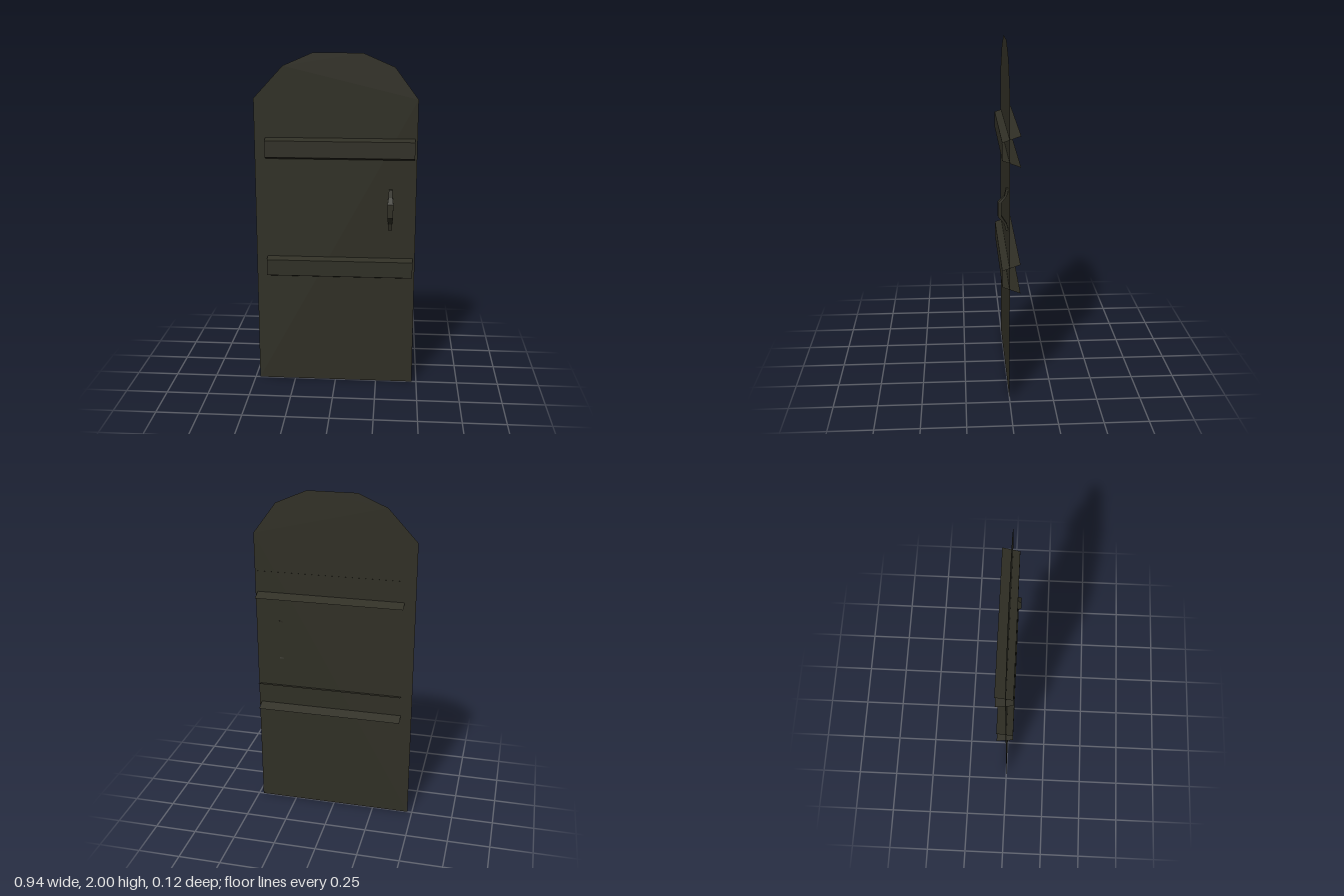
import * as THREE from 'three';

const ironwood = new THREE.MeshStandardMaterial({ color: 0x302f25, side: THREE.DoubleSide, flatShading: true });
ironwood.name = 'dark weathered brown';

// Lofts a list of equal-length point loops into a surface
function loft(rows, closed) {
  const n = rows[0].length;
  const index = [];
  for (let i = 0; i < rows.length - 1; i++) {
    for (let j = 0; j < (closed ? n : n - 1); j++) {
      const k = (j + 1) % n;
      const a = i * n + j, b = i * n + k, c = a + n, d = b + n;
      index.push(a, b, d, a, d, c);
    }
  }
  if (closed) {
    const e = (rows.length - 1) * n;
    for (let j = 1; j < n - 1; j++) index.push(0, j + 1, j, e, e + j, e + j + 1);
  }
  const geometry = new THREE.BufferGeometry();
  geometry.setAttribute('position', new THREE.Float32BufferAttribute(rows.flat(2), 3));
  geometry.setIndex(index);
  const flat = geometry.toNonIndexed();
  flat.computeVertexNormals();
  return flat;
}

function add(group, name, geometry) {
  const mesh = new THREE.Mesh(geometry, ironwood);
  mesh.name = name;
  group.add(mesh);
  return mesh;
}

export function createModel() {
  const model = new THREE.Group();
  model.name = 'archedDoor';

  // Thin door leaf with a faceted arch
  const outline = [
    [-0.472, 0], [0.472, 0], [0.472, 1.742], [0.337, 1.922],
    [0.155, 2], [-0.13, 2], [-0.3, 1.927], [-0.472, 1.742],
  ].map(([x, y]) => new THREE.Vector2(x, y));
  add(model, 'doorLeaf', new THREE.ShapeGeometry(new THREE.Shape(outline)));

  // Open channel-shaped straps whose flanges flare out behind the leaf
  const channel = [[0.089, -0.06], [0.054, 0.04], [-0.042, 0.04], [-0.08, -0.06]];
  for (const [name, y] of [['upperStrap', 1.449], ['lowerStrap', 0.731]]) {
    const rows = [-0.408, 0.459].map((x) => channel.map(([dy, z]) => [x, dy, z]));
    add(model, name, loft(rows, false)).position.y = y;
  }

  // Pull handle: rectangular sections of [y, back z, front z, half width]
  const sections = [
    [0.975, -0.002, 0.013, 0.011], [1.015, 0.008, 0.022, 0.012],
    [1.06, 0.037, 0.058, 0.017], [1.14, 0.037, 0.058, 0.017],
    [1.175, 0.008, 0.022, 0.012], [1.218, -0.002, 0.013, 0.011],
  ];
  const loops = sections.map(([y, back, front, w]) => [
    [-w, y, front], [w, y, front], [w, y, back], [-w, y, back],
  ]);
  add(model, 'pullHandle', loft(loops, true)).position.x = 0.323;

  return model;
}
